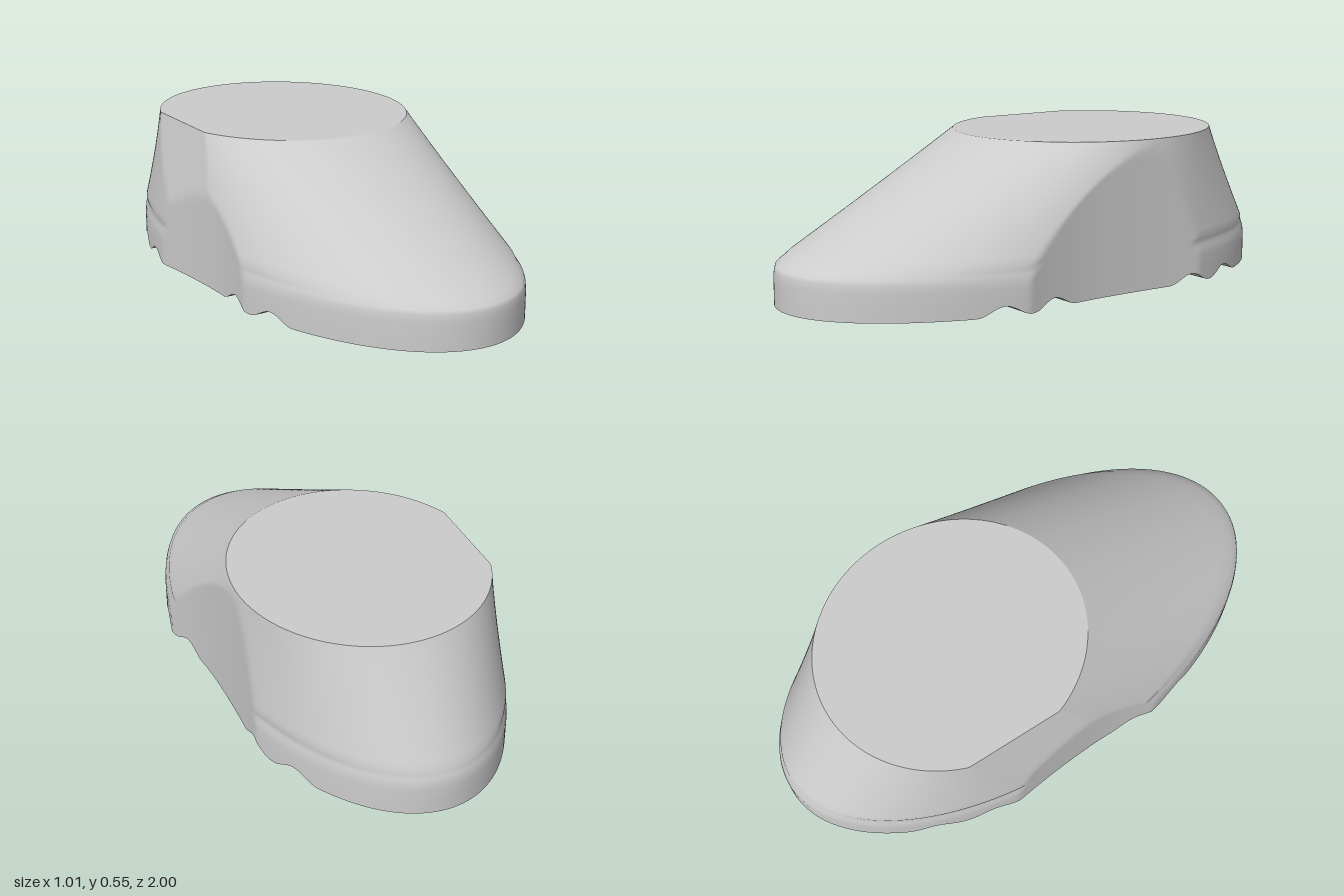
import * as THREE from 'three';

const N = 320; // points around each cross-section
const TOP = 0.545, SHOULDER = 0.14;

// Scalloped grooves running across the sole
const grooves = [0.42, 0.21, -0.42, -0.63];
function soleHeight(z) {
  let y = 0;
  for (const c of grooves) {
    const d = Math.abs(z - c) / 0.1;
    if (d < 1) y = Math.max(y, 0.036 * (0.5 + 0.5 * Math.cos(Math.PI * d)));
  }
  return y;
}

// Concave waist on each side, plus a sloping flat high on the -x side
function waistPlusX(z) {
  const d = z + 0.05;
  return 0.457 + (d > 0 ? 0.3 : 0.1) * d * d;
}
function waistMinusX(z, y) {
  const d = z - 0.03;
  const waist = 0.483 + (d > 0 ? 0.37 : 0.155) * d * d;
  const flat = 0.482 - (y - 0.31) * 0.25 + 0.04 * (z + 0.27);
  return Math.min(waist, y > 0.2 ? flat : waist);
}

// One cross-section: an ellipse that shrinks and moves back with height
function ring(y, inset = 0) {
  const f = Math.max(0, (y - SHOULDER) / (TOP - SHOULDER));
  const a = THREE.MathUtils.lerp(0.53, 0.455, f) - inset;
  const b = THREE.MathUtils.lerp(1, 0.5, f) - inset;
  const cz = -0.27 * f;
  const points = [];
  for (let i = 0; i < N; i++) {
    const t = (i / N) * Math.PI * 2;
    const z = cz + b * Math.cos(t);
    const x = THREE.MathUtils.clamp(a * Math.sin(t), -waistMinusX(z, y), waistPlusX(z));
    points.push(new THREE.Vector3(x, y === 0 ? soleHeight(z) : y, z));
  }
  return points;
}

function build(points, index) {
  const geometry = new THREE.BufferGeometry().setFromPoints(points);
  geometry.setIndex(index);
  geometry.computeVertexNormals();
  return geometry;
}

// Skin stretched over a stack of rings
function skin(rings) {
  const index = [];
  for (let j = 0; j < rings.length - 1; j++) {
    for (let i = 0; i < N; i++) {
      const k = (i + 1) % N;
      const a = j * N + i, b = j * N + k, c = b + N, d = a + N;
      index.push(a, b, c, a, c, d);
    }
  }
  return build(rings.flat(), index);
}

// Strips across a ring, from its +x edge to its -x edge
function cap(points, up) {
  const index = [];
  for (let i = 0; i < N / 2; i++) {
    const r0 = i, r1 = i + 1, l1 = N - i - 1, l0 = (N - i) % N;
    const tris = [[r0, r1, l1], [r0, l1, l0]];
    for (const [a, b, c] of tris) {
      if (a === b || b === c || a === c) continue;
      index.push(...(up ? [a, b, c] : [a, c, b]));
    }
  }
  return build(points, index);
}

export function createModel() {
  const group = new THREE.Group();
  group.name = 'shoe';
  const material = new THREE.MeshStandardMaterial({ color: 0xcccccc });
  const add = (name, geometry) => {
    const mesh = new THREE.Mesh(geometry, material);
    mesh.name = name;
    group.add(mesh);
  };

  // Upright rim, softened shoulder, then the sloping upper
  const rings = [ring(0), ring(0.05), ring(0.1), ring(0.125, 0.003), ring(0.14, 0.008), ring(0.155, 0.006)];
  for (let i = 0; i <= 16; i++) rings.push(ring(THREE.MathUtils.lerp(0.17, TOP, i / 16)));

  add('upper', skin(rings));
  add('ankleTop', cap(rings[rings.length - 1], true));
  add('groovedSole', cap(rings[0], false));
  return group;
}
